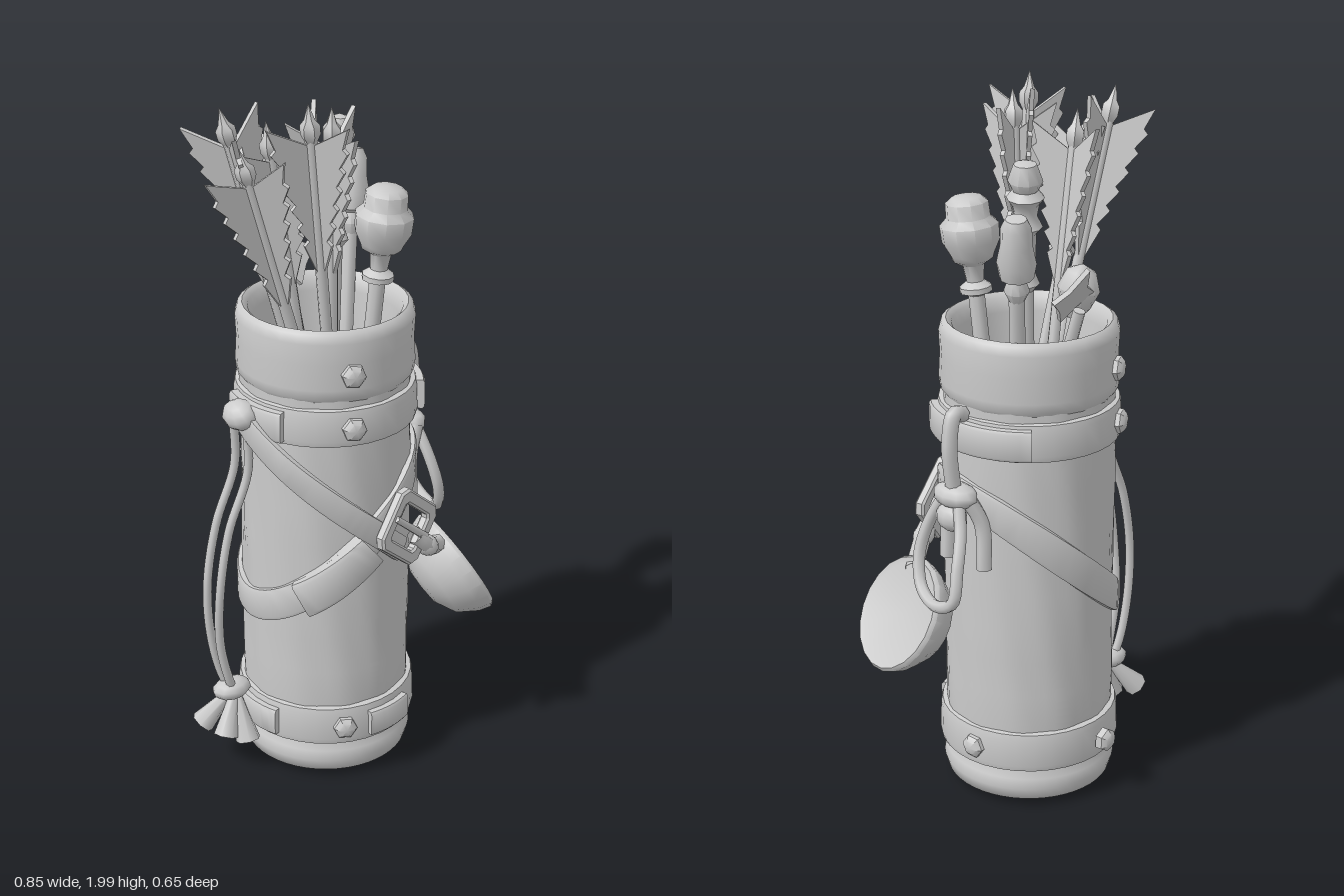
import * as THREE from 'three';
import { toCreasedNormals } from 'three/addons/utils/BufferGeometryUtils.js';

const CZ = -0.03; // z of the quiver's axis
const V = (x, y, z) => new THREE.Vector3(x, y, z);
const UP = V(0, 1, 0);

export function createModel() {
  const root = new THREE.Group();
  const mat = new THREE.MeshStandardMaterial({ color: 0xcccccc, side: THREE.DoubleSide });

  const add = (name, geo, parent = root) => {
    const m = new THREE.Mesh(geo, mat);
    m.name = name;
    parent.add(m);
    return m;
  };
  const crease = (geo, a = 0.7) => toCreasedNormals(geo, a);
  const lathe = (pts, seg = 32) => new THREE.LatheGeometry(pts.map(p => new THREE.Vector2(p[0], p[1])), seg);
  const cord = (name, pts, r, closed = false) => add(name, new THREE.TubeGeometry(
    new THREE.CatmullRomCurve3(pts.map(p => V(...p)), closed), pts.length * 6, r, 7, closed));
  const knot = (name, p, s, tilt = 0) => {
    const m = add(name, new THREE.SphereGeometry(1, 10, 7));
    m.position.set(...p);
    m.scale.set(...s);
    m.rotation.z = tilt;
  };
  // Flat leather strip around the axis; path(t) gives [angle, radius, y], angle 0 = +x, 90 deg = +z
  const strap = (name, path, width, thick, n = 40) => {
    const at = t => {
      const [a, r, y] = path(t);
      return V(Math.cos(a) * r, y, CZ + Math.sin(a) * r);
    };
    const pos = [], idx = [];
    for (let i = 0; i <= n; i++) {
      const t = i / n, p = at(t), a = path(t)[0];
      const out = V(Math.cos(a), 0, Math.sin(a));
      const side = at(t + 0.01).sub(at(t - 0.01)).normalize().cross(out).normalize();
      for (const [s, o] of [[-1, -1], [1, -1], [1, 0.6], [0.8, 1], [-0.8, 1], [-1, 0.6]])
        pos.push(...p.clone().addScaledVector(side, s * width / 2).addScaledVector(out, o * thick / 2).toArray());
      if (i < n) for (let k = 0; k < 6; k++) {
        const b = i * 6 + k, c = i * 6 + (k + 1) % 6;
        idx.push(b, b + 6, c, c, b + 6, c + 6);
      }
    }
    const e = n * 6;
    for (let k = 1; k < 5; k++) idx.push(0, k, k + 1, e, e + k + 1, e + k);
    const g = new THREE.BufferGeometry();
    g.setAttribute('position', new THREE.Float32BufferAttribute(pos, 3));
    g.setIndex(idx);
    return add(name, crease(g));
  };
  // Slim object along local y, from a point inside the quiver to its tip (local y = 0 at the tip)
  const stick = (name, foot, tip, spin = 0) => {
    const g = new THREE.Group(), a = V(...foot), b = V(...tip);
    g.name = name;
    g.position.copy(b);
    g.quaternion.setFromUnitVectors(UP, b.clone().sub(a).normalize());
    g.rotateY(spin);
    g.userData.len = a.distanceTo(b);
    root.add(g);
    return g;
  };
  const shaft = (g, r, top) => {
    const h = g.userData.len + top;
    add('shaft', new THREE.CylinderGeometry(r, r, h, 8), g).position.y = top - h / 2;
  };

  // Leather body with gentle dents
  const body = lathe([[0, 0], [0.2, 0.005], [0.235, 0.025], [0.245, 0.06], [0.24, 0.09], [0.228, 0.11],
    [0.236, 0.24], [0.238, 0.35], [0.235, 0.45], [0.238, 0.55], [0.235, 0.65], [0.237, 0.75], [0.235, 0.85],
    [0.237, 0.95], [0.235, 1.05], [0.235, 1.2]], 48);
  const p = body.attributes.position;
  for (let i = 0; i < p.count; i++) {
    const y = p.getY(i), a = Math.atan2(p.getZ(i), p.getX(i));
    const d = y > 0.2 ? 1 + 0.018 * Math.sin(7 * a + 9 * y) * Math.sin(5 * a - 17 * y) : 1;
    p.setX(i, p.getX(i) * d);
    p.setZ(i, p.getZ(i) * d);
  }
  add('quiverBody', crease(body, 1)).position.z = CZ;

  // Rolled cuff around the mouth, and the hollow inside
  add('cuff', crease(lathe([[0.232, 1.18], [0.243, 1.195], [0.246, 1.22], [0.242, 1.29], [0.245, 1.35], [0.238, 1.375],
    [0.225, 1.383], [0.21, 1.37], [0.202, 1.33], [0.2, 1.1], [0.19, 0.95], [0, 0.93]]), 0.9)).position.z = CZ;

  // Reinforcing bands
  for (const [y0, y1, r] of [[0.12, 0.24, 0.252], [1.055, 1.165, 0.25]])
    add('band', crease(lathe([[0.228, y0], [r, y0 + 0.004], [r + 0.004, y0 + 0.02], [r + 0.001, y1 - 0.02],
      [r - 0.003, y1 - 0.004], [0.228, y1]]))).position.z = CZ;
  const arc = (name, a0, a1, y, w) => strap(name, t => [a0 + (a1 - a0) * t, 0.261, y], w, 0.025, 14);
  arc('lowerBandTab', 1.2, 1.75, 0.18, 0.075);
  arc('upperBandTab', -0.75, 0.75, 1.11, 0.085);
  arc('upperBandTabRight', 2.7, 3.5, 1.11, 0.085);
  arc('lowerBandTabRight', 2.8, 3.5, 0.18, 0.08);

  // Faceted rivets
  const rivet = (a, y, r) => {
    const m = add('rivet', crease(lathe([[0.034, -0.012], [0.034, 0.008], [0.021, 0.02], [0, 0.023]], 6)));
    m.position.set(Math.cos(a) * r, y, CZ + Math.sin(a) * r);
    m.quaternion.setFromUnitVectors(UP, V(Math.cos(a), 0, Math.sin(a)));
  };
  for (const a of [1.94, -2.0]) {
    rivet(a, 1.26, 0.245);
    rivet(a, 1.11, 0.254);
  }
  for (const a of [2.03, -0.08]) rivet(a, 0.18, 0.256);
  rivet(-1.63, 0.18, 0.275);

  // Tilted strap circling the body, and a sash dropping from the right shoulder to the buckle
  strap('girdleStrap', t => {
    const a = t * Math.PI * 2;
    return [a, 0.242, 0.73 + 0.21 * Math.cos(a - 0.28)];
  }, 0.09, 0.022, 56);
  strap('strapEnd', t => {
    const a = 1.75 + 0.75 * t;
    return [a, 0.262, 0.76 + 0.22 * Math.cos(a - 0.1)];
  }, 0.105, 0.03, 14);
  strap('sash', t => [3.25 - 1.95 * t, 0.285 - 0.03 * Math.sin(t * Math.PI / 2), 1.13 - 0.43 * t], 0.07, 0.02);

  // Buckle
  const buckle = new THREE.Group();
  buckle.name = 'buckle';
  buckle.position.set(0.055, 0.79, 0.245);
  buckle.rotation.set(0, 0.2, -0.68);
  root.add(buckle);
  const outline = (Shape, w, h, c) => new Shape()
    .moveTo(-w + c, -h).lineTo(w - c, -h).lineTo(w, -h + c).lineTo(w, h - c)
    .lineTo(w - c, h).lineTo(-w + c, h).lineTo(-w, h - c).lineTo(-w, -h + c).closePath();
  const frame = outline(THREE.Shape, 0.095, 0.085, 0.02);
  frame.holes.push(outline(THREE.Path, 0.07, 0.06, 0.012));
  add('buckleFrame', new THREE.ExtrudeGeometry(frame,
    { depth: 0.018, bevelSize: 0.006, bevelThickness: 0.006, bevelSegments: 1 }), buckle);
  const prong = add('buckleProng', new THREE.CylinderGeometry(0.01, 0.012, 0.17, 6), buckle);
  prong.rotation.z = Math.PI / 2;
  prong.position.z = 0.024;

  // Ladle hanging off the buckle
  const ladle = new THREE.Group();
  ladle.name = 'ladle';
  ladle.position.set(0.325, 0.55, 0.162);
  ladle.quaternion.setFromUnitVectors(UP, V(0.82, 0.5, 0.22).normalize());
  root.add(ladle);
  add('ladleBowl', crease(lathe([[0, -0.125], [0.06, -0.12], [0.12, -0.09], [0.157, -0.035], [0.168, 0], [0.16, 0.012],
    [0.145, 0.006], [0, -0.004]], 20), 0.9), ladle);
  cord('ladleHandle', [[0.09, 0.75, 0.25], [0.13, 0.71, 0.25], [0.19, 0.67, 0.22], [0.25, 0.65, 0.18]], 0.025);
  knot('ladleCollar', [0.14, 0.7, 0.245], [0.04, 0.03, 0.03], -0.7);

  // Double cord down the right side, knotted at both ends
  for (const s of [-0.03, 0.03])
    cord('sideCord', [[-0.28, 1.12, s - 0.05], [-0.27, 0.95, s - 0.06], [-0.33, 0.78, s - 0.07], [-0.365, 0.6, s - 0.07],
      [-0.355, 0.42, s * 0.7 - 0.08], [-0.32, 0.28, s * 0.5 - 0.08], [-0.29, 0.22, -0.08]], 0.013);
  knot('upperCordKnot', [-0.285, 1.12, -0.04], [0.045, 0.04, 0.055], 0.5);
  knot('lowerCordKnot', [-0.305, 0.25, -0.08], [0.06, 0.03, 0.045]);
  for (const [z, x, y] of [[-0.12, -0.37, 0.15], [-0.06, -0.34, 0.13], [-0.03, -0.29, 0.11]]) {
    const t = stick('cordTassel', [-0.29, 0.25, -0.08], [x, y, z]);
    add('tassel', new THREE.CylinderGeometry(0.036, 0.012, 0.13, 7), t).position.y = -0.05;
  }

  // Carrying loop on the left side
  cord('loopDrop', [[0.25, 1.17, -0.02], [0.285, 1.18, -0.02], [0.305, 1.1, -0.02], [0.29, 0.96, -0.02]], 0.022);
  cord('carryLoop', [[0.29, 0.97, -0.02], [0.3, 0.88, 0.05], [0.325, 0.76, 0.08], [0.35, 0.68, 0.05],
    [0.375, 0.655, -0.02], [0.385, 0.69, -0.1], [0.365, 0.78, -0.1], [0.32, 0.88, -0.07]], 0.017, true);
  knot('loopKnot', [0.285, 0.95, -0.02], [0.05, 0.035, 0.07]);
  knot('loopKnotLower', [0.3, 0.89, -0.02], [0.035, 0.04, 0.05]);
  for (const z of [-0.06, 0.03]) cord('loopTail', [[0.28, 0.95, z], [0.25, 0.87, z * 1.4], [0.25, 0.74, z * 1.5]], 0.022);

  // Arrows with serrated vanes
  const vane = new THREE.Shape();
  vane.moveTo(0, -0.1).lineTo(0.112, -0.03);
  for (let i = 0; i < 6; i++) {
    const y = -0.1 - i * 0.055, w = 0.106 - i * 0.014;
    vane.lineTo(w - 0.013, y + 0.012).lineTo(w, y);
  }
  vane.lineTo(0, -0.48).closePath();
  const vaneGeo = new THREE.ExtrudeGeometry(vane, { depth: 0.012, bevelEnabled: false });
  vaneGeo.translate(0.006, 0, -0.006);
  [[[-0.04, 1.0, -0.03], [-0.31, 1.95, -0.06], 0.1], [[-0.03, 1.0, 0.05], [-0.18, 1.98, 0.13], 0.8],
    [[0, 1.0, 0.0], [-0.09, 1.95, 0.11], 0.4], [[-0.02, 1.0, -0.06], [-0.19, 1.9, -0.03], 1.2],
    [[-0.05, 1.0, 0.03], [-0.32, 1.87, 0.03], 1.0]].forEach(([a, b, spin]) => {
    const g = stick('arrow', a, b, spin);
    shaft(g, 0.016, -0.04);
    add('nock', crease(lathe([[0.016, -0.09], [0.026, -0.07], [0.026, -0.045], [0.014, -0.03], [0, 0.015]], 6)), g);
    for (let i = 0; i < 3; i++) add('vane', vaneGeo, g).rotation.y = i * Math.PI * 2 / 3;
  });

  // Turned staffs with knobs
  const staff = (name, foot, tip, r, profile) => {
    const g = stick(name, foot, tip);
    shaft(g, r, -0.08);
    add('head', crease(lathe(profile, 10), 0.9), g);
  };
  staff('bulbStaff', [0.07, 1.0, 0.04], [0.105, 1.71, 0.1], 0.022, [[0.02, -0.27], [0.044, -0.26], [0.044, -0.245], [0.024, -0.23],
    [0.03, -0.185], [0.055, -0.17], [0.06, -0.155], [0.078, -0.12], [0.08, -0.075], [0.06, -0.055], [0.058, -0.015], [0.04, 0], [0, 0.003]]);
  staff('finialStaff', [0.04, 1.0, -0.06], [0.13, 1.85, -0.13], 0.02, [[0.02, -0.36], [0.036, -0.34], [0.024, -0.31],
    [0.028, -0.2], [0.045, -0.18], [0.03, -0.15], [0.036, -0.12], [0.05, -0.1], [0.034, -0.08], [0.046, -0.055], [0.03, -0.01], [0, 0]]);
  staff('capStaff', [0.1, 1.0, -0.08], [0.22, 1.73, -0.18], 0.021, [[0.02, -0.24], [0.034, -0.21], [0.024, -0.18],
    [0.045, -0.17], [0.052, -0.13], [0.042, -0.08], [0.04, -0.03], [0.028, -0.005], [0, 0]]);
  staff('budStaff', [-0.03, 1.0, -0.08], [-0.09, 1.53, -0.14], 0.018, [[0.018, -0.15], [0.04, -0.12], [0.058, -0.07], [0.04, -0.02], [0, 0]]);

  // Leaf-shaped head at the back
  const leaf = new THREE.Shape();
  leaf.moveTo(0, 0).lineTo(0.035, -0.07).lineTo(0.08, -0.1).lineTo(0.035, -0.14).lineTo(0, -0.19)
    .lineTo(-0.035, -0.14).lineTo(-0.08, -0.1).lineTo(-0.035, -0.07).closePath();
  const spear = stick('leafStaff', [0, 1.0, -0.07], [0, 1.55, -0.24]);
  shaft(spear, 0.017, -0.12);
  add('leafHead', new THREE.ExtrudeGeometry(leaf, { depth: 0.014, bevelEnabled: false }), spear).rotation.x = -0.25;

  return root;
}
